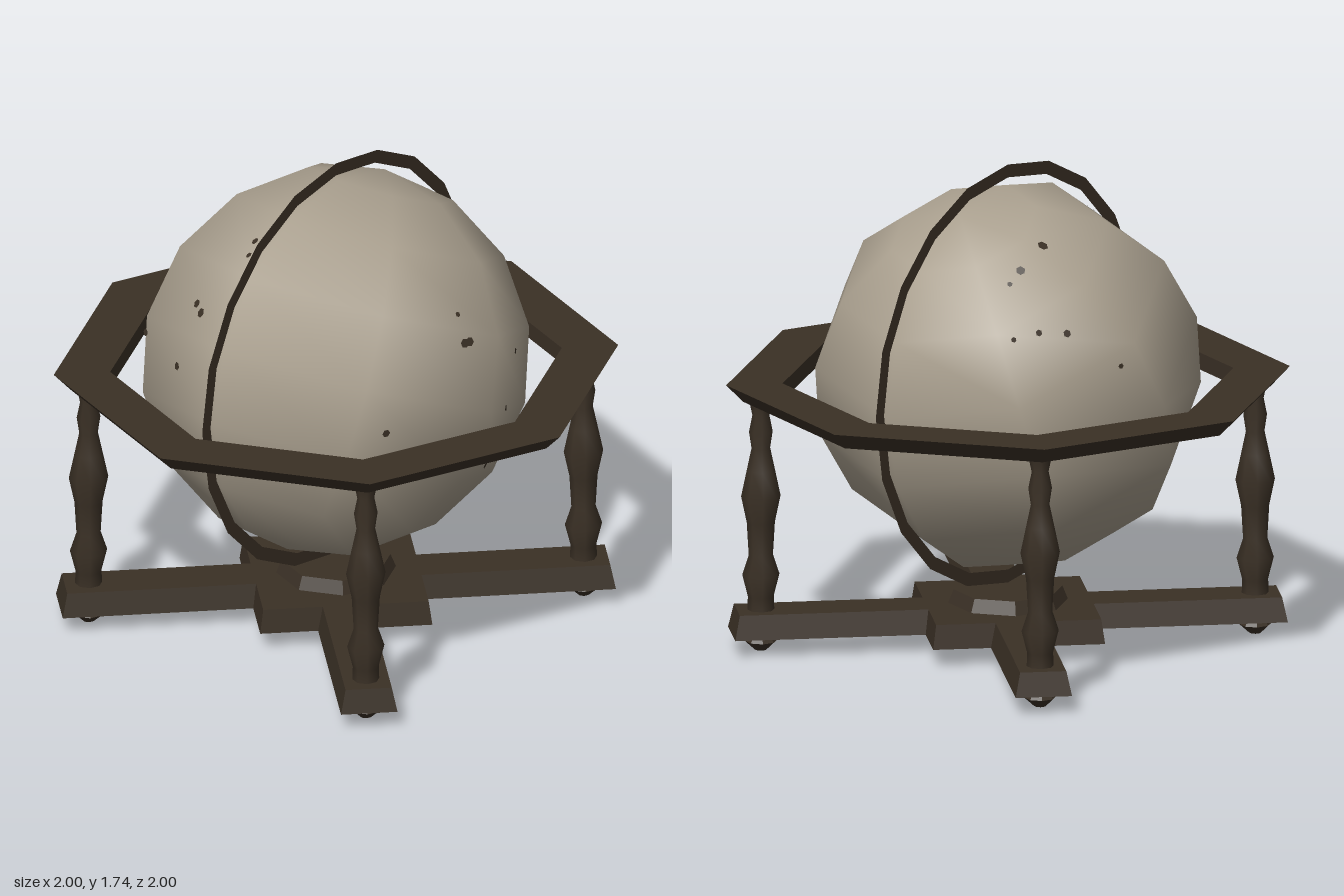
import * as THREE from 'three';

const wood = new THREE.MeshStandardMaterial({ color: 0x3a3025 });
wood.name = 'dark wood';
const paper = new THREE.MeshStandardMaterial({ color: 0xa99f8e });
paper.name = 'aged paper';
const band = new THREE.MeshStandardMaterial({ color: 0x3a3025, side: THREE.DoubleSide });
band.name = 'dark band';

const CENTER_Y = 0.975;

function add(parent, name, geometry, material, x = 0, y = 0, z = 0) {
  const mesh = new THREE.Mesh(geometry, material);
  mesh.name = name;
  mesh.position.set(x, y, z);
  parent.add(mesh);
  return mesh;
}

function faceted(geometry) {
  const g = geometry.toNonIndexed();
  g.computeVertexNormals();
  return g;
}

function lathe(points, sides) {
  return new THREE.LatheGeometry(points.map(p => new THREE.Vector2(...p)), sides);
}

// Box whose top face is inset a little on every side
function taperedBox(w, h, d, inset) {
  const g = new THREE.BoxGeometry(w, h, d);
  const p = g.attributes.position;
  for (let i = 0; i < p.count; i++) {
    if (p.getY(i) > 0) {
      p.setX(i, p.getX(i) - Math.sign(p.getX(i)) * inset);
      p.setZ(i, p.getZ(i) - Math.sign(p.getZ(i)) * inset);
    }
  }
  g.computeVertexNormals();
  return g;
}

// Small dark marks cast onto the ball along a viewing direction: [u, v, size]
function addMarks(parent, ball, direction, up, list) {
  const dir = new THREE.Vector3(...direction).normalize();
  const right = new THREE.Vector3(...up).cross(dir).normalize();
  const top = dir.clone().cross(right);
  const ray = new THREE.Raycaster();
  for (const [u, v, size] of list) {
    const origin = new THREE.Vector3(0, CENTER_Y, 0)
      .addScaledVector(dir, 3).addScaledVector(right, u).addScaledVector(top, v);
    ray.set(origin, dir.clone().negate());
    const hit = ray.intersectObject(ball)[0];
    if (!hit) continue;
    const normal = hit.face.normal.clone().transformDirection(ball.matrixWorld);
    const mark = add(parent, 'surfaceMark', new THREE.CircleGeometry(size, 6), wood);
    mark.position.copy(hit.point).addScaledVector(normal, 0.004);
    mark.quaternion.setFromUnitVectors(new THREE.Vector3(0, 0, 1), normal);
  }
}

export function createModel() {
  const model = new THREE.Group();
  model.name = 'floorGlobe';

  // Ball, tilted on its axis
  const ball = add(model, 'globeBall', new THREE.SphereGeometry(0.695, 8, 8), paper, 0, CENTER_Y, 0);
  ball.rotation.x = -0.409;
  ball.updateMatrixWorld(true);

  // Marks on the ball
  addMarks(model, ball, [0, 0, 1], [0, 1, 0], [
    [-0.24, 0.33, 0.016], [-0.2, 0.317, 0.018], [-0.48, 0.14, 0.014], [-0.265, 0.11, 0.015]]);
  addMarks(model, ball, [1, 0, 0], [0, 1, 0], [
    [-0.03, 0.255, 0.017], [-0.01, 0.255, 0.017], [-0.01, 0.345, 0.01], [0.32, 0.075, 0.012],
    [-0.38, 0.015, 0.015], [0.18, -0.075, 0.012], [0.16, -0.31, 0.016]]);
  addMarks(model, ball, [0, 1, 0], [0, 0, -1], [
    [-0.1, -0.33, 0.014], [-0.085, -0.385, 0.012], [-0.3, 0.38, 0.01]]);
  addMarks(model, ball, [-0.55, 0.5, -0.67], [0, 1, 0], [
    [0.11, 0.31, 0.02], [0.03, 0.21, 0.017], [0, -0.05, 0.01],
    [0.09, -0.02, 0.012], [0.19, -0.015, 0.014], [0.38, -0.11, 0.01]]);

  // Flat meridian band standing in the x = 0 plane
  const meridian = add(model, 'meridianBand', new THREE.RingGeometry(0.715, 0.762, 20), band, 0, 0.98, 0);
  meridian.rotation.y = Math.PI / 2;
  meridian.rotation.z = Math.PI / 2;
  meridian.rotation.order = 'YXZ';

  // Eight-sided horizon ring with an undercut outer edge
  add(model, 'horizonRing', faceted(lathe(
    [[0.8, 0.91], [0.94, 0.91], [1, 0.972], [0.8, 0.972], [0.8, 0.91]], 8)), wood);

  // Crossed base bars and square hub
  for (const turn of [1, -1]) {
    const bar = add(model, 'baseBar', taperedBox(1.96, 0.087, 0.2, 0.018), wood, 0, 0.1085, 0);
    bar.rotation.y = turn * Math.PI / 4;
  }
  const hub = add(model, 'baseHub', taperedBox(0.61, 0.087, 0.61, 0.012), wood, 0, 0.1085, 0);
  hub.rotation.y = Math.PI / 4;
  add(model, 'hubPlate', faceted(new THREE.CylinderGeometry(0.193, 0.213, 0.05, 8)), wood, 0, 0.175, 0);
  add(model, 'hubUnderside', faceted(new THREE.CylinderGeometry(0.16, 0.14, 0.009, 8)), wood, 0, 0.0605, 0);

  // Turned legs with a foot below each
  const legProfile = [[0.048, 0.15], [0.046, 0.2], [0.066, 0.28], [0.043, 0.35], [0.05, 0.47],
    [0.07, 0.565], [0.05, 0.66], [0.033, 0.74], [0.042, 0.8], [0.03, 0.86], [0.042, 0.915]];
  const footProfile = [[0, 0], [0.022, 0.006], [0.057, 0.038], [0.04, 0.066]];
  for (const x of [-0.62, 0.62]) {
    for (const z of [-0.62, 0.62]) {
      add(model, 'turnedLeg', lathe(legProfile, 8), wood, x, 0, z);
      add(model, 'foot', faceted(lathe(footProfile, 8)), wood, x, 0, z);
    }
  }
  return model;
}
